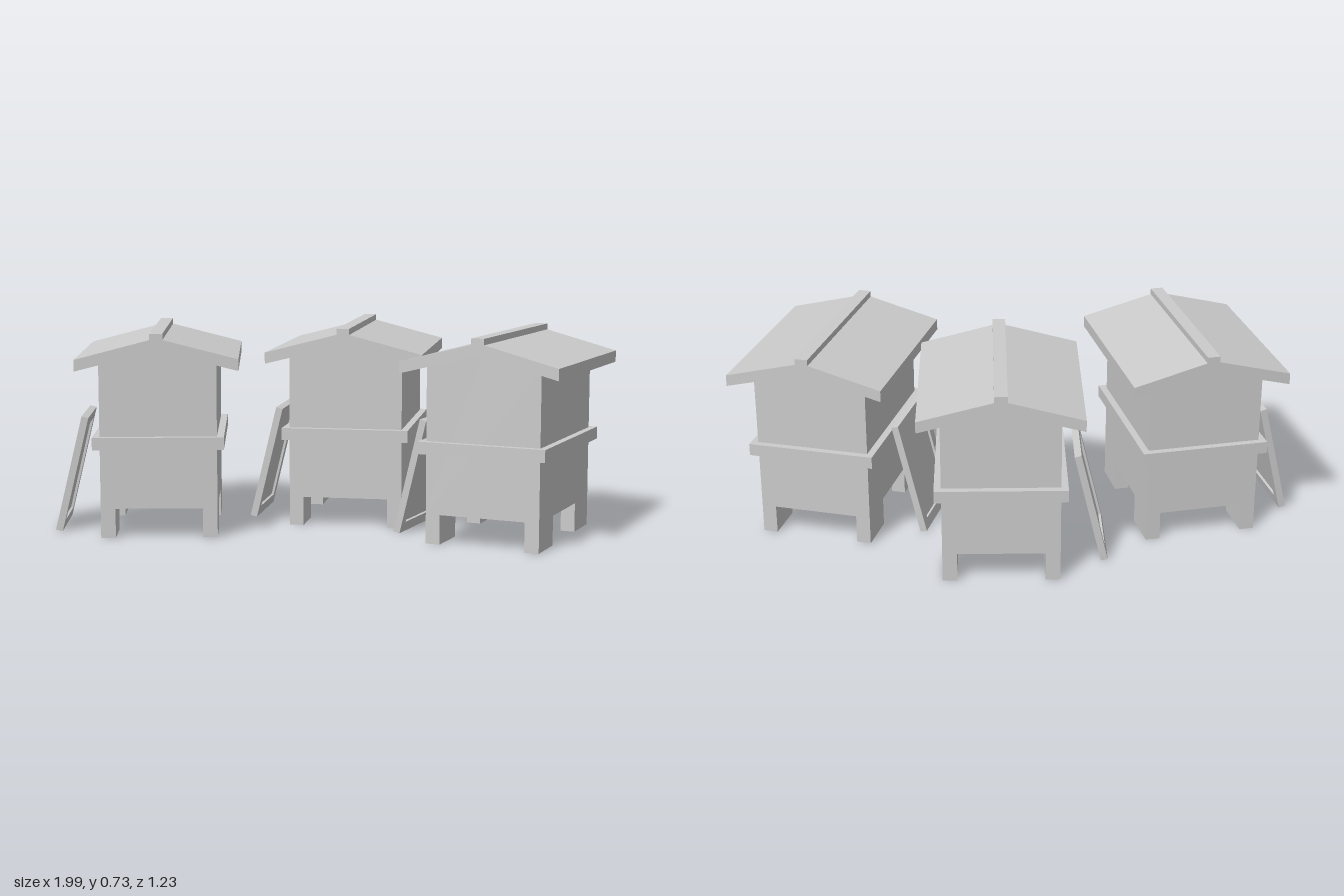
import * as THREE from 'three';

const material = new THREE.MeshStandardMaterial({ color: 0xcccccc, flatShading: true });

function part(name, geometry, parent, x = 0, y = 0, z = 0) {
  const mesh = new THREE.Mesh(geometry, material);
  mesh.name = name;
  mesh.position.set(x, y, z);
  parent.add(mesh);
  return mesh;
}

const box = (w, h, d) => new THREE.BoxGeometry(w, h, d);

// Extrudes an x-y outline along z, centred on z = 0
function prism(points, depth) {
  const shape = new THREE.Shape(points.map(([x, y]) => new THREE.Vector2(x, y)));
  return new THREE.ExtrudeGeometry(shape, { depth, bevelEnabled: false }).translate(0, 0, -depth / 2);
}

const W = 0.414, D = 0.57, LEG_H = 0.105;

// Framed board leaning beside the hive; its inner lower edge rests on the ground
function makeLeaningFrame() {
  const h = 0.425, w = 0.315, t = 0.025, b = 0.037, lean = 0.237;
  const frame = new THREE.Group();
  frame.name = 'leaningFrame';
  for (const s of [-1, 1]) {
    part('frameStile', box(t, h, b), frame, t / 2, h / 2, s * (w - b) / 2);
    part('frameRail', box(t, b, w - 2 * b), frame, t / 2, h / 2 + s * (h - b) / 2, 0);
  }
  part('framePanel', box(0.007, h - 2 * b, w - 2 * b), frame, t / 2, h / 2, 0);
  frame.rotation.z = -lean;
  frame.position.set(-0.382, t * Math.sin(lean), 0.002);
  return frame;
}

function makeHive() {
  const hive = new THREE.Group();
  hive.name = 'hive';

  // Walls with gabled ends
  const hw = W / 2;
  part('body', prism([[-hw, LEG_H], [hw, LEG_H], [hw, 0.626], [0, 0.676], [-hw, 0.626]], D), hive);
  part('band', box(W + 0.05, 0.044, D + 0.05), hive, 0, 0.341, 0);

  // Corner legs
  const lw = 0.052, ld = 0.155;
  for (const sx of [-1, 1])
    for (const sz of [-1, 1])
      part('leg', box(lw, LEG_H, ld), hive, sx * (W - lw) / 2, LEG_H / 2, sz * (D - ld) / 2);

  // Pitched roof with a ridge cap
  const e = 0.286;
  part('roof', prism([[-e, 0.602], [0, 0.674], [e, 0.602], [e, 0.643], [0, 0.717], [-e, 0.643]], 0.692), hive);
  part('ridgeCap', box(0.046, 0.038, 0.694), hive, 0, 0.714, 0);

  hive.add(makeLeaningFrame());
  return hive;
}

export function createModel() {
  const model = new THREE.Group();
  model.name = 'beehives';
  // x, z and turn in degrees of each hive
  for (const [x, z, turn] of [[-0.583, 0.19, 20.8], [0.035, -0.23, 9.2], [0.678, -0.013, -6]]) {
    const hive = makeHive();
    hive.position.set(x, 0, z);
    hive.rotation.y = THREE.MathUtils.degToRad(turn);
    model.add(hive);
  }
  return model;
}
